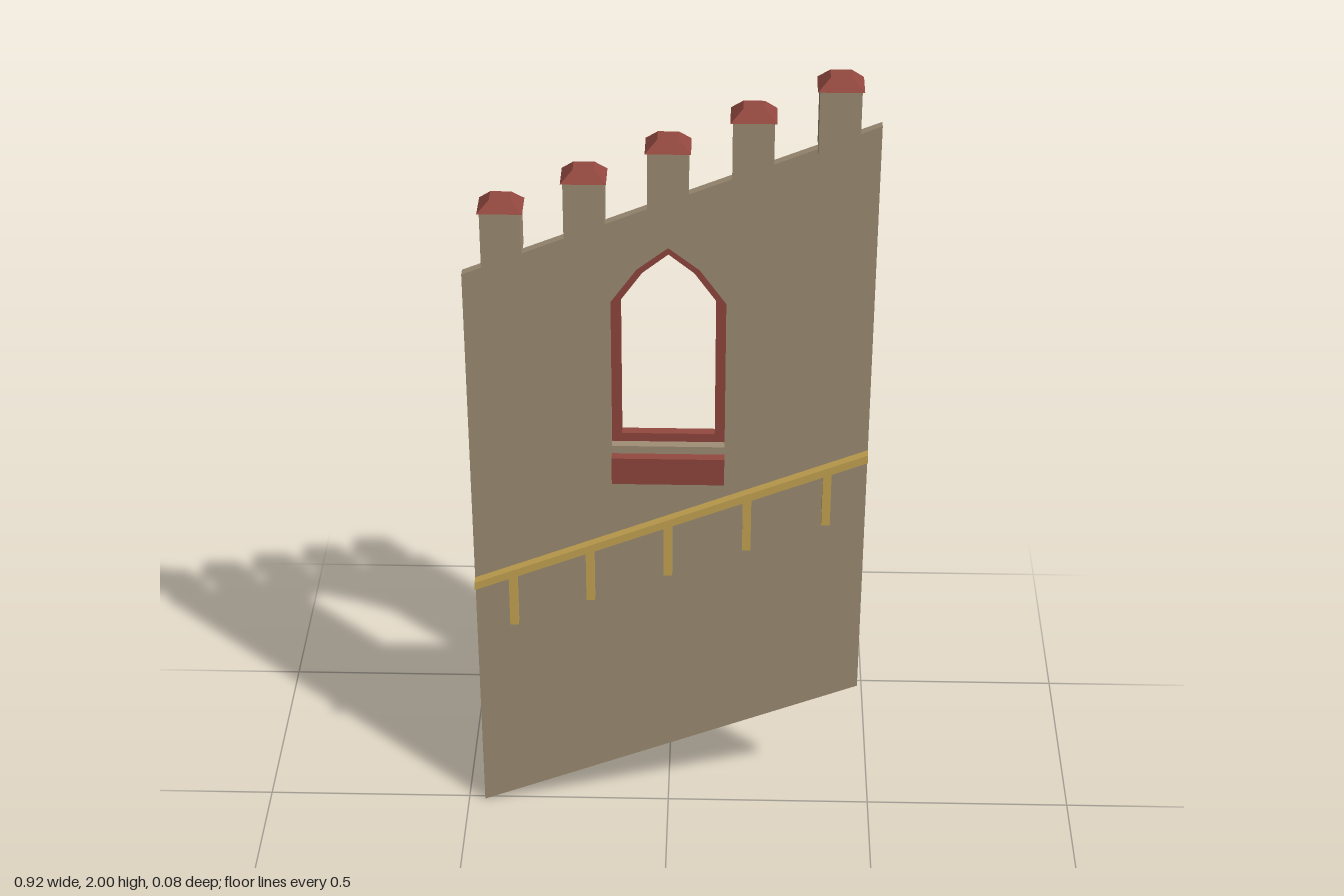
import * as THREE from 'three';

const SLOPE = 0.408; // rise of the stair-side wall per unit of x
const HALF = 0.46;
const WALL = 0.011; // half thickness of the wall
const OUT = 0.034; // how far trim stands out from the wall's middle

const stone = new THREE.MeshStandardMaterial({ name: 'stone', color: 0xa08f76 });
const red = new THREE.MeshStandardMaterial({ name: 'redTrim', color: 0x934840 });
const gold = new THREE.MeshStandardMaterial({ name: 'goldRail', color: 0xc8a754 });

const toPoints = (list) => list.map(([x, y]) => new THREE.Vector2(x, y));

// Pointed window outline, symmetrical about x = 0
function archPoints(w, bottom, shoulder, midX, midY, apex) {
  return toPoints([[-w, bottom], [w, bottom], [w, shoulder], [midX, midY],
    [0, apex], [-midX, midY], [-w, shoulder]]);
}

function extrude(name, points, hole, z0, z1, material) {
  const shape = new THREE.Shape(points);
  if (hole) shape.holes.push(new THREE.Path(hole));
  const geo = new THREE.ExtrudeGeometry(shape, { depth: z1 - z0, bevelEnabled: false });
  geo.translate(0, 0, z0);
  const mesh = new THREE.Mesh(geo, material);
  mesh.name = name;
  return mesh;
}

// Upright-sided strip whose top and bottom follow the slope or lie level
function strip(x0, x1, low, high, lowSlope, highSlope) {
  return toPoints([[x0, low + x0 * lowSlope], [x1, low + x1 * lowSlope],
    [x1, high + x1 * highSlope], [x0, high + x0 * highSlope]]);
}

// Hipped cap with a small flat top
function capGeometry() {
  const geo = new THREE.BoxGeometry(0.1, 0.026, 0.08).toNonIndexed();
  const p = geo.attributes.position;
  for (let i = 0; i < p.count; i++) {
    if (p.getY(i) > 0) {
      p.setX(i, Math.sign(p.getX(i)) * 0.023);
      p.setZ(i, Math.sign(p.getZ(i)) * 0.02);
    }
  }
  geo.computeVertexNormals();
  return geo;
}

export function createModel() {
  const model = new THREE.Group();
  model.name = 'slopedTowerWall';

  // Leaning wall panel with the window opening
  const opening = archPoints(0.13, 1.06, 1.44, 0.07, 1.525, 1.58);
  const inner = archPoints(0.107, 1.082, 1.435, 0.058, 1.505, 1.552);
  const wallBase = HALF * SLOPE;
  model.add(extrude('wall', strip(-HALF, HALF, wallBase, 1.695, SLOPE, SLOPE),
    opening, -WALL, WALL, stone));

  // Window frame behind the wall, sill in front
  model.add(extrude('windowFrame', opening, inner, -OUT, -WALL, red));
  model.add(extrude('windowSill', strip(-0.13, 0.13, 0.97, 1.04, 0, 0), null, WALL, OUT, red));

  // Handrail
  model.add(extrude('handrail', strip(-HALF, HALF, 0.849, 0.87, SLOPE, SLOPE),
    null, WALL, OUT, gold));

  // Rail posts and capped merlons, evenly stepped up the slope
  const cap = capGeometry();
  for (let i = -2; i <= 2; i++) {
    const x = i * 0.184;
    const rise = x * SLOPE;

    const post = extrude('railPost',
      strip(x - 0.01, x + 0.01, 0.712 + rise, 0.85, 0, SLOPE), null, WALL, OUT, gold);
    model.add(post);

    const merlon = new THREE.Group();
    merlon.name = 'merlon';
    merlon.add(extrude('merlonBody',
      strip(x - 0.045, x + 0.045, 1.695, 1.825 + rise, SLOPE, 0), null, -0.036, 0.036, stone));
    const roof = new THREE.Mesh(cap, red);
    roof.name = 'merlonCap';
    roof.position.set(x, 1.837 + rise, 0);
    merlon.add(roof);
    model.add(merlon);
  }
  return model;
}
